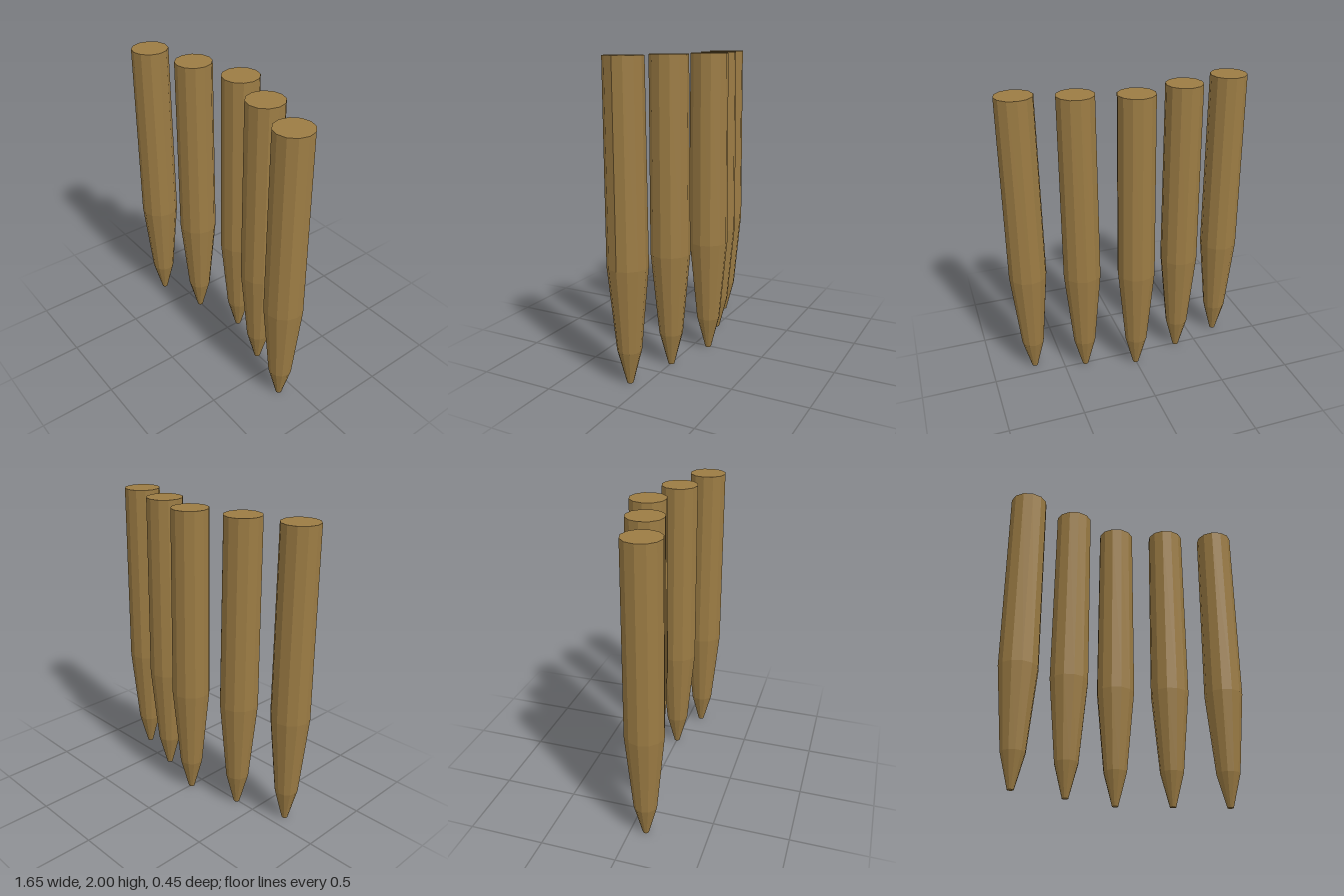
import * as THREE from 'three';

export function createModel() {
  const group = new THREE.Group();
  group.name = 'stakeRow';

  const wood = new THREE.MeshStandardMaterial({ color: 0x9c7c44 });
  wood.name = 'wood';
  wood.flatShading = true;

  // Closed profile: blunt tip, steep point, shallow taper, near-straight shaft, flat top
  const profile = [
    [0, 0], [0.02, 0], [0.077, 0.22], [0.127, 0.76], [0.121, 2], [0, 2],
  ].map(([r, y]) => new THREE.Vector2(r, y));
  const stakeGeometry = new THREE.LatheGeometry(profile, 12);

  // Five stakes in a shallow V, the middle one furthest back
  for (let i = -2; i <= 2; i++) {
    const stake = new THREE.Mesh(stakeGeometry, wood);
    stake.name = `stake${i + 3}`;
    stake.position.set(i * 0.35, 0, Math.abs(i) * 0.1 - 0.1);
    group.add(stake);
  }
  return group;
}
